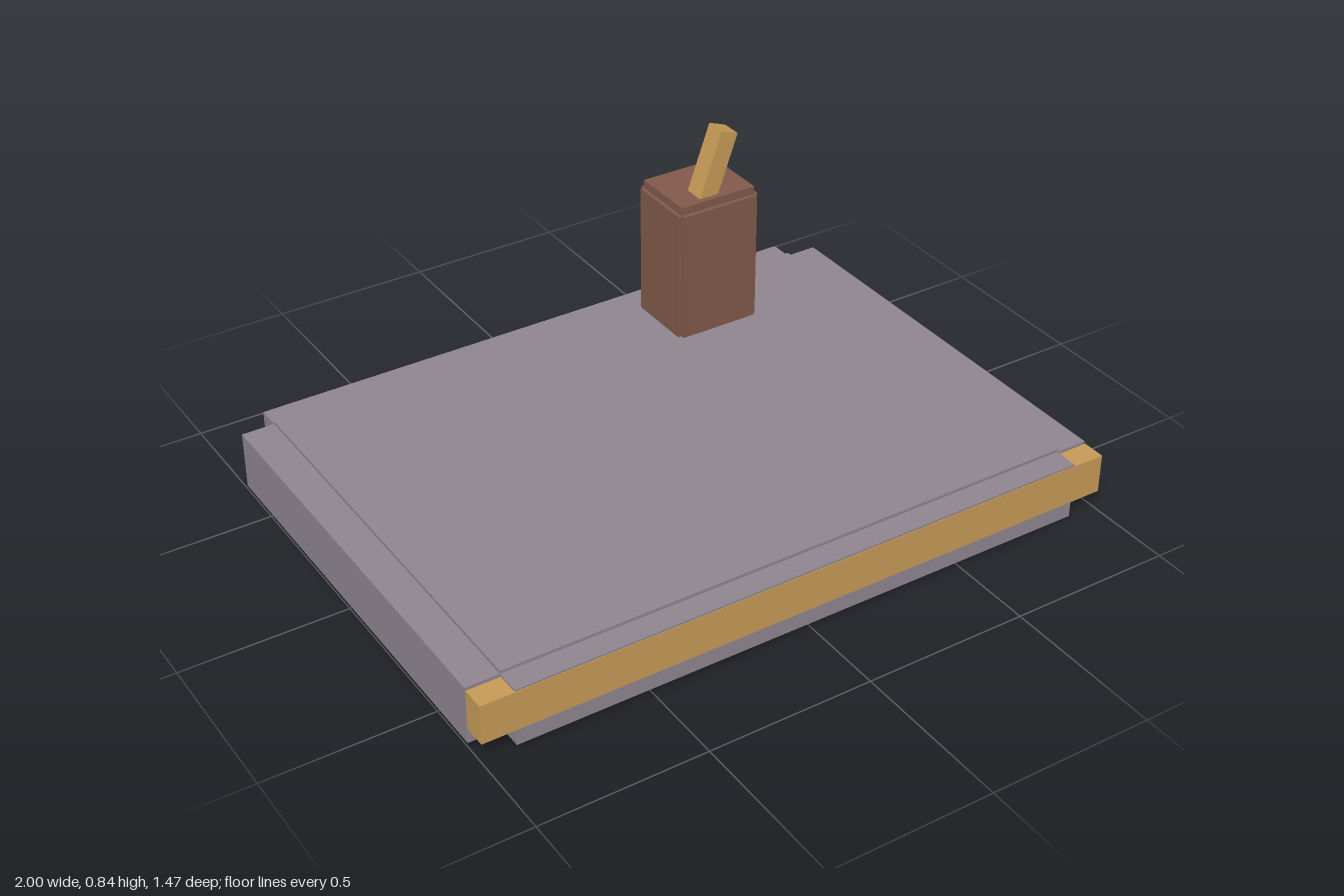
import * as THREE from 'three';

const mat = (name, color) => {
  const m = new THREE.MeshStandardMaterial({ color });
  m.name = name;
  return m;
};

// Box given by its minimum and maximum corners
function block(name, material, min, max) {
  const [w, h, d] = max.map((v, i) => v - min[i]);
  const mesh = new THREE.Mesh(new THREE.BoxGeometry(w, h, d), material);
  mesh.position.set(...max.map((v, i) => (v + min[i]) / 2));
  mesh.name = name;
  return mesh;
}

// Three crossed blocks whose outer sides step in at every edge
function steppedBlock(name, material, [cx, cz], [hx, hz], [ox, oz], [y0, y1], [s0, s1]) {
  const group = new THREE.Group();
  group.name = name;
  const add = (part, x, z, a, b) =>
    group.add(block(part, material, [cx - x, a, cz - z], [cx + x, b, cz + z]));
  add(name + 'Core', hx, hz, y0, y1);
  add(name + 'Sides', ox, hz, s0, s1);
  add(name + 'Ends', hx, oz, s0, s1);
  return group;
}

export function createModel() {
  const grey = mat('mauve grey', 0x8f858f);
  const brown = mat('brown', 0x80594b);
  const gold = mat('golden wood', 0xc69a56);

  const model = new THREE.Group();
  model.name = 'leverPlatform';

  // Wide platform and the post standing on it
  model.add(steppedBlock('platform', grey, [0, 0], [0.9, 0.66], [1, 0.733], [0, 0.2], [0.012, 0.19]));
  model.add(steppedBlock('post', brown, [0.464, -0.523], [0.128, 0.105], [0.14, 0.118], [0.2, 0.64], [0.2, 0.614]));

  // Trim bar across the front edge
  model.add(block('frontTrim', gold, [-1, 0.062, 0.664], [1, 0.184, 0.735]));

  // Tilted lever, sunk into the post
  const length = 0.3, tilt = THREE.MathUtils.degToRad(20);
  const lever = new THREE.Mesh(new THREE.BoxGeometry(0.06, length, 0.066), gold);
  lever.name = 'lever';
  lever.rotation.z = -tilt;
  lever.position.set(0.513 - Math.sin(tilt) * length / 2, 0.833 - Math.cos(tilt) * length / 2, -0.469);
  model.add(lever);

  return model;
}
